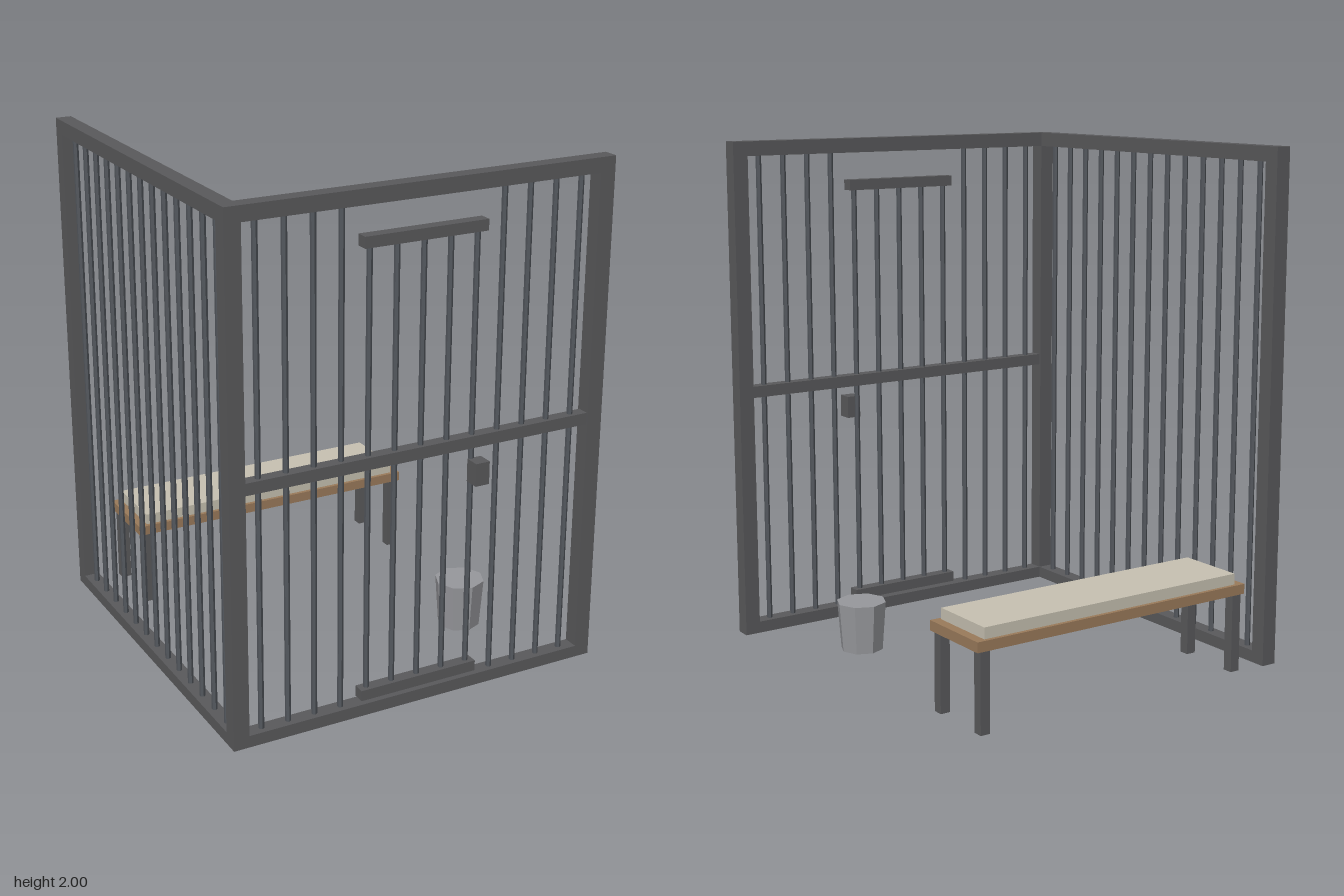
import * as THREE from 'three';

const mat = (name, color) => {
  const m = new THREE.MeshStandardMaterial({ color });
  m.name = name;
  m.flatShading = true;
  return m;
};

export function createModel() {
  const model = new THREE.Group();
  model.name = 'cell';
  const frame = mat('dark iron', 0x5a5a5c);
  const steel = mat('bar steel', 0x54585e);
  const wood = mat('wood', 0x9b7b5b);
  const cloth = mat('mattress cloth', 0xc8c2b2);
  const tin = mat('bucket tin', 0x98999d);

  const group = (name) => {
    const g = new THREE.Group();
    g.name = name;
    model.add(g);
    return g;
  };
  // Box given by its extents on each axis
  const box = (parent, name, material, [x0, x1], [y0, y1], [z0, z1]) => {
    const m = new THREE.Mesh(new THREE.BoxGeometry(x1 - x0, y1 - y0, z1 - z0), material);
    m.name = name;
    m.position.set((x0 + x1) / 2, (y0 + y1) / 2, (z0 + z1) / 2);
    parent.add(m);
  };
  const bar = (parent, name, x, z, y0, y1) => {
    const m = new THREE.Mesh(new THREE.CylinderGeometry(0.011, 0.011, y1 - y0, 6), steel);
    m.name = name;
    m.position.set(x, (y0 + y1) / 2, z);
    parent.add(m);
  };

  const frontZ = [0.693, 0.755], sideX = [-0.77, -0.708];
  const step = 0.1077;

  // Front wall: posts, beams and middle rail
  const front = group('frontWall');
  box(front, 'frontPostRight', frame, sideX, [0, 2], frontZ);
  box(front, 'frontPostLeft', frame, [0.708, 0.77], [0, 2], frontZ);
  box(front, 'frontTopBeam', frame, [-0.708, 0.708], [1.943, 2], frontZ);
  box(front, 'frontBottomBeam', frame, [-0.708, 0.708], [0, 0.047], frontZ);
  box(front, 'middleRail', frame, [-0.708, 0.708], [0.98, 1.026], [0.7, 0.748]);

  // Door set between the fixed bars
  const door = group('door');
  box(door, 'doorTopRail', frame, [-0.246, 0.246], [1.79, 1.832], [0.7, 0.748]);
  box(door, 'doorBottomRail', frame, [-0.246, 0.246], [0.058, 0.1], [0.7, 0.748]);
  box(door, 'doorLock', frame, [0.2, 0.258], [0.843, 0.932], [0.725, 0.785]);

  // Side wall
  const side = group('sideWall');
  box(side, 'sideBackPost', frame, sideX, [0, 2], [-0.785, -0.723]);
  box(side, 'sideTopBeam', frame, sideX, [1.943, 2], [-0.723, 0.693]);
  box(side, 'sideBottomBeam', frame, sideX, [0, 0.047], [-0.723, 0.693]);

  // Bars of both walls; the five in the middle of the front belong to the door
  for (let i = -6; i <= 6; i++) {
    if (Math.abs(i) <= 2) bar(door, 'doorBar', i * step, 0.724, 0.1, 1.79);
    else bar(front, 'frontBar', i * step, 0.724, 0.047, 1.943);
    bar(side, 'sideBar', -0.739, -0.015 + i * step, 0.047, 1.943);
  }

  // Bunk
  const bunk = group('bunk');
  box(bunk, 'bunkBoard', wood, [-0.615, 0.615], [0.306, 0.345], [-0.77, -0.465]);
  box(bunk, 'mattress', cloth, [-0.577, 0.577], [0.345, 0.388], [-0.755, -0.48]);
  for (const x of [-0.6, 0.56])
    for (const z of [-0.766, -0.509])
      box(bunk, 'bunkLeg', frame, [x, x + 0.04], [0, 0.306], [z, z + 0.04]);

  // Bucket
  const bucket = new THREE.Mesh(new THREE.CylinderGeometry(0.1, 0.085, 0.196, 8), tin);
  bucket.name = 'bucket';
  bucket.position.set(0.46, 0.098, 0.29);
  model.add(bucket);

  return model;
}
